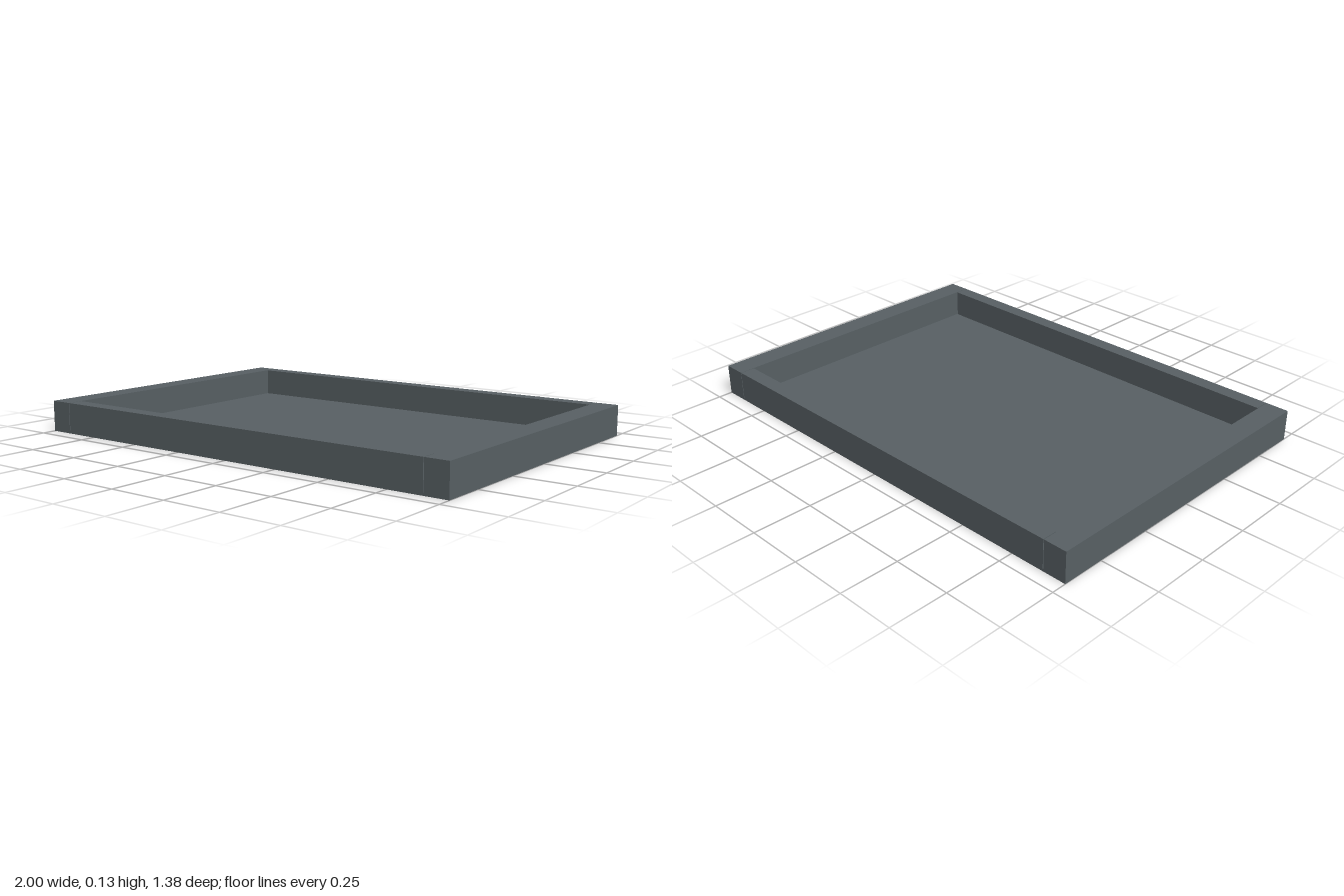
import * as THREE from 'three';

export function createModel() {
  const tray = new THREE.Group();
  tray.name = 'tray';
  const slate = new THREE.MeshStandardMaterial({ color: 0x586064 });
  slate.name = 'slate grey';

  const width = 2, depth = 1.375, height = 0.133;
  const floorThickness = 0.012, sideWidth = 0.1, railDepth = 0.065, seam = 0.003;
  const wallHeight = height - floorThickness;
  const wallY = floorThickness + wallHeight / 2;

  function addBox(name, w, h, d, x, y, z) {
    const mesh = new THREE.Mesh(new THREE.BoxGeometry(w, h, d), slate);
    mesh.name = name;
    mesh.position.set(x, y, z);
    tray.add(mesh);
  }

  // Thin floor panel under the whole frame
  addBox('floor', width, floorThickness, depth, 0, floorThickness / 2, 0);

  // Wide side rails run the full depth; narrow end rails fit between them
  for (const s of [1, -1]) {
    addBox(s > 0 ? 'leftRail' : 'rightRail', sideWidth, wallHeight, depth,
      s * (width - sideWidth) / 2, wallY, 0);
    addBox(s > 0 ? 'frontRail' : 'backRail', width - 2 * (sideWidth + seam), wallHeight, railDepth,
      0, wallY, s * (depth - railDepth) / 2);
  }
  return tray;
}
